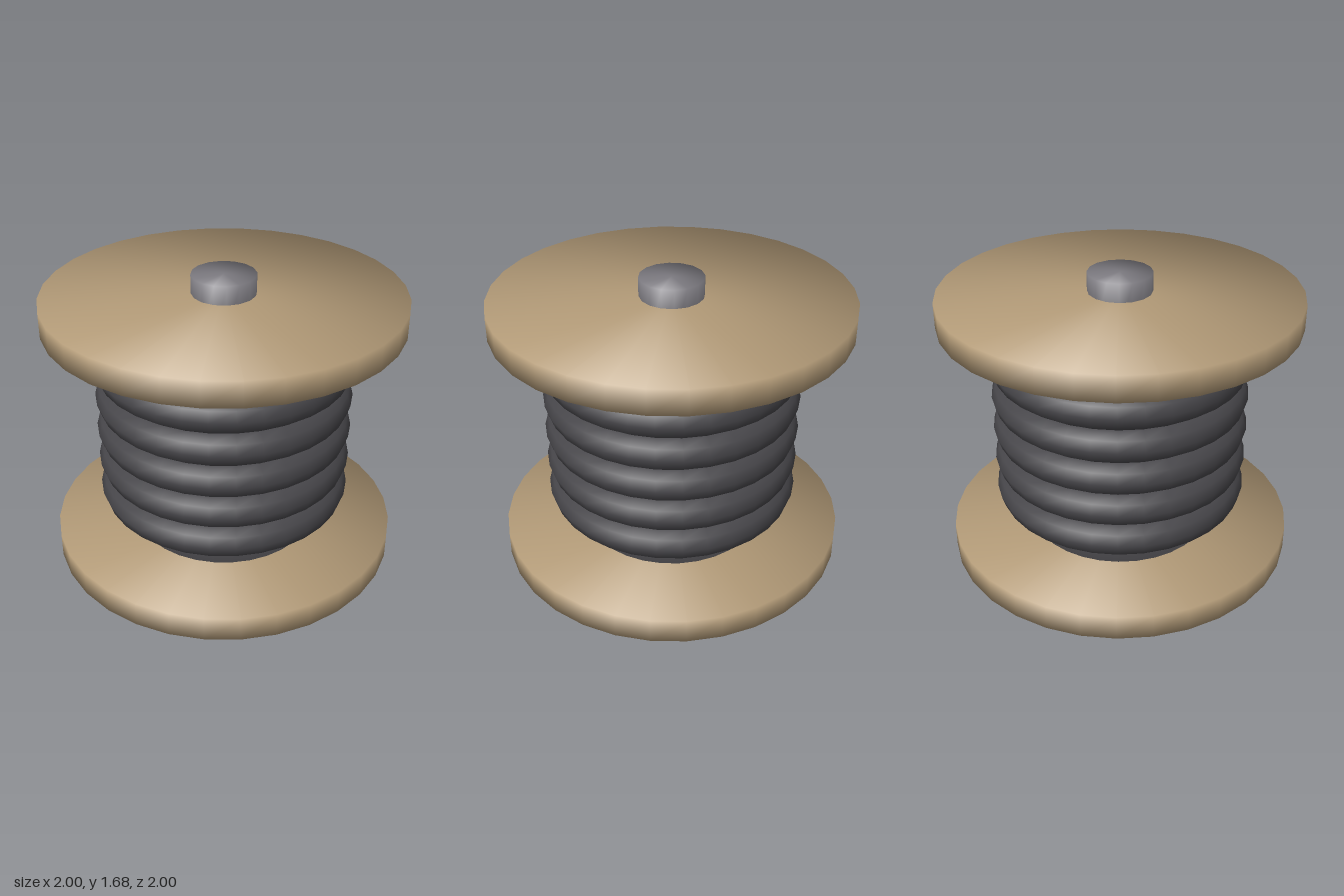
import * as THREE from 'three';

const wood = new THREE.MeshStandardMaterial({ name: 'wood', color: 0xb39b78 });
const steel = new THREE.MeshStandardMaterial({ name: 'steel', color: 0x7c7a80 });
const cable = new THREE.MeshStandardMaterial({ name: 'cable', color: 0x47464a });

// Capped cylinder from y0 to y1 whose normals blend smoothly over the rims
function softCylinder(name, material, radius, y0, y1, sides) {
  const geometry = new THREE.CylinderGeometry(radius, radius, y1 - y0, sides);
  const { position, normal } = geometry.attributes;
  for (let i = 0; i < position.count; i++) {
    const x = 0.75 * position.getX(i) / radius;
    const z = 0.75 * position.getZ(i) / radius;
    normal.setXYZ(i, x, 0.66 * Math.sign(position.getY(i)), z);
  }
  const mesh = new THREE.Mesh(geometry, material);
  mesh.name = name;
  mesh.position.y = (y0 + y1) / 2;
  return mesh;
}

export function createModel() {
  const model = new THREE.Group();
  model.name = 'cableSpool';

  // End flanges, core drum and axle stub
  model.add(
    softCylinder('bottomFlange', wood, 1, 0, 0.143, 32),
    softCylinder('topFlange', wood, 1, 1.43, 1.573, 32),
    softCylinder('drum', steel, 0.535, 0.143, 1.43, 32),
    softCylinder('axle', steel, 0.18, 1.4, 1.68, 16)
  );

  // Five stacked cable turns
  const turns = new THREE.Group();
  turns.name = 'cableTurns';
  const turnGeometry = new THREE.TorusGeometry(0.626, 0.104, 10, 32).rotateX(Math.PI / 2);
  for (let i = 0; i < 5; i++) {
    const turn = new THREE.Mesh(turnGeometry, cable);
    turn.name = `cableTurn${i + 1}`;
    turn.position.y = 0.393 + i * 0.197;
    turns.add(turn);
  }
  model.add(turns);
  return model;
}
